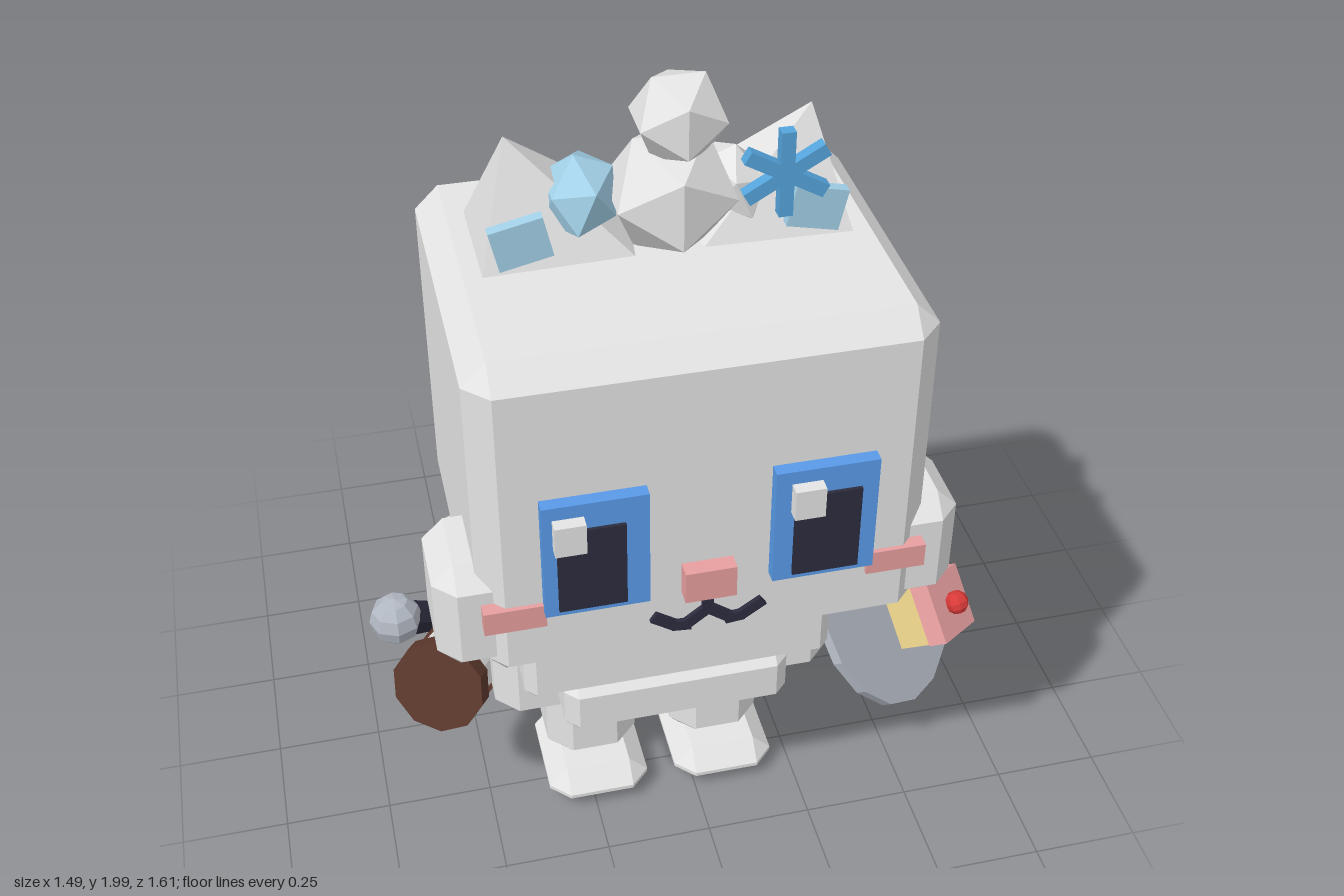
import * as THREE from 'three';
import { ConvexGeometry } from 'three/addons/geometries/ConvexGeometry.js';

const V = (x, y, z) => new THREE.Vector3(x, y, z);

export function createModel() {
  const model = new THREE.Group();
  model.name = 'robotCat';
  const colours = {
    shell: 0xe4e4e4, eyeBlue: 0x5a9cea, pink: 0xe9a0a0, navy: 0x2c2c3e, iceBlue: 0xa8d8f0,
    starBlue: 0x55a4dc, brown: 0x5c382c, steel: 0xb2b8c2, sponge: 0xe8d08a, berry: 0xd83a38,
  };
  const mats = {};
  for (const [name, hex] of Object.entries(colours)) {
    mats[name] = new THREE.MeshStandardMaterial({ color: hex });
    mats[name].name = name;
  }

  const add = (name, geo, mat, parent = model) => {
    const mesh = new THREE.Mesh(geo, mats[mat]);
    mesh.name = name;
    parent.add(mesh);
    return mesh;
  };
  const faceted = (geo) => {
    const flat = geo.index ? geo.toNonIndexed() : geo;
    flat.computeVertexNormals();
    return flat;
  };

  // Box given by its limits
  const box = (name, mat, [x0, x1], [y0, y1], [z0, z1]) => {
    const m = add(name, new THREE.BoxGeometry(x1 - x0, y1 - y0, z1 - z0), mat);
    m.position.set((x0 + x1) / 2, (y0 + y1) / 2, (z0 + z1) / 2);
    return m;
  };

  // Box with every edge cut off by c
  const chamferBox = (name, mat, [x0, x1], [y0, y1], [z0, z1], c) => {
    const h = [(x1 - x0) / 2, (y1 - y0) / 2, (z1 - z0) / 2];
    const pts = [];
    for (const sx of [-1, 1]) for (const sy of [-1, 1]) for (const sz of [-1, 1])
      for (let axis = 0; axis < 3; axis++) {
        const p = h.map((v, i) => (i === axis ? v : v - c));
        pts.push(V(sx * p[0], sy * p[1], sz * p[2]));
      }
    const m = add(name, new ConvexGeometry(pts), mat);
    m.position.set((x0 + x1) / 2, (y0 + y1) / 2, (z0 + z1) / 2);
    return m;
  };

  // Places a mesh whose axis is y so that it runs from a to b
  const span = (mesh, a, b) => {
    mesh.position.copy(a).add(b).multiplyScalar(0.5);
    mesh.quaternion.setFromUnitVectors(V(0, 1, 0), b.clone().sub(a).normalize());
    return mesh;
  };

  // Eight-sided rod with cut ends
  const rod = (name, mat, a, b, r, c) => {
    const h = a.distanceTo(b) / 2;
    const pts = [];
    for (const [y, q] of [[-h, r - c], [-h + c, r], [h - c, r], [h, r - c]])
      for (let i = 0; i < 8; i++) {
        const t = ((i + 0.5) * Math.PI) / 4;
        pts.push(V(q * Math.cos(t), y, q * Math.sin(t)));
      }
    return span(add(name, new ConvexGeometry(pts), mat), a, b);
  };
  const cylinder = (name, mat, a, b, r0, r1, sides) =>
    span(add(name, faceted(new THREE.CylinderGeometry(r1, r0, a.distanceTo(b), sides)), mat), a, b);
  const gem = (name, mat, p, sx, sy = sx, sz = sx) => {
    const g = new THREE.IcosahedronGeometry(1, 0).scale(sx, sy, sz);
    const m = add(name, faceted(g), mat);
    m.position.copy(p);
    return m;
  };

  const mid = -0.08; // centre line of the body
  const sides = [-1, 1];

  // Head and body
  chamferBox('head', 'shell', [-0.54, 0.38], [0.85, 1.62], [0, 0.74], 0.05);
  chamferBox('hips', 'shell', [-0.48, 0.32], [0.35, 0.72], [-0.06, 0.39], 0.05);
  chamferBox('chest', 'shell', [-0.43, 0.27], [0.55, 0.92], [0.2, 0.52], 0.025);
  chamferBox('belly', 'shell', [-0.34, 0.18], [0.41, 0.56], [0.3, 0.51], 0.03);
  chamferBox('backPanel', 'shell', [-0.395, 0.24], [0.36, 1.02], [-0.085, 0.25], 0.035);

  for (const s of sides) {
    const X = (a, b) => [mid + s * a, mid + s * b].sort((p, q) => p - q);
    // Side pods, legs and feet
    chamferBox('sidePod', 'shell', X(0.3, 0.545), [0.87, 1.135], [0.485, 0.72], 0.045);
    chamferBox('leg', 'shell', X(0.045, 0.265), [0.06, 0.45], [0.07, 0.28], 0.055);
    chamferBox('foot', 'shell', X(0.035, 0.28), [0, 0.1], [0.07, 0.37], 0.045);

    // Pyramid ears with a ribbon tab
    const ex = mid + s * 0.19;
    add('ear', new ConvexGeometry([
      V(mid + s * 0.375, 1.61, 0.16), V(mid + s * 0.03, 1.61, 0.16), V(mid + s * 0.06, 1.61, 0.41),
      V(mid + s * 0.375, 1.61, 0.42), V(mid + s * 0.305, 1.865, 0.315)]), 'shell');
    const tab = box('ribbonTab', 'iceBlue', [ex - 0.055, ex + 0.055], [1.64, 1.73], [0.395, 0.42]);
    tab.position.x = mid + s * 0.295;
    tab.rotation.z = -s * 0.22;

    // Face
    box('eye', 'eyeBlue', X(0.125, 0.335), [1.045, 1.32], [0.7, 0.768]);
    const px = s < 0 ? -0.32 : 0.152;
    box('pupil', 'navy', [px - 0.068, px + 0.068], [1.06, 1.26], [0.765, 0.775]);
    box('eyeGlint', 'shell', [px - 0.075, px - 0.013], [1.22, 1.29], [0.765, 0.795]);
    box('blush', 'pink', X(0.33, 0.455), [1.005, 1.06], [0.7, 0.75]);
    for (const [x, y, a, l] of [[0.02, 0.965, -0.65, 0.06], [0.055, 0.945, 0.1, 0.04], [0.092, 0.962, 0.6, 0.055]]) {
      const bar = box('mouth', 'navy', [-l / 2, l / 2], [-0.012, 0.012], [0.73, 0.75]);
      bar.position.set(mid + s * x, y, 0.74);
      bar.rotation.z = s * a;
    }
  }
  box('nose', 'pink', [-0.135, -0.03], [1.03, 1.105], [0.7, 0.775]);
  box('mouthStem', 'navy', [-0.093, -0.07], [0.97, 1.035], [0.73, 0.75]);

  // Hair buns, bow and star pin
  gem('bun', 'shell', V(-0.07, 1.735, 0.36), 0.14);
  gem('topBun', 'shell', V(-0.06, 1.907, 0.385), 0.1);
  gem('bowLeft', 'iceBlue', V(-0.245, 1.73, 0.33), 0.08, 0.09, 0.105).rotation.z = -0.4;
  gem('bowRight', 'shell', V(0.07, 1.71, 0.315), 0.065, 0.085, 0.1).rotation.z = 0.4;
  for (let i = 0; i < 3; i++) {
    const bar = box('starPin', 'starBlue', [-0.014, 0.014], [-0.09, 0.09], [0, 0.025]);
    bar.position.set(0.12, 1.825, 0.5);
    bar.rotation.z = (i * Math.PI) / 3;
  }

  // Arms
  rod('rightArm', 'shell', V(-0.51, 0.81, 0.175), V(-0.51, 0.44, 0.175), 0.078, 0.04);
  rod('leftArm', 'shell', V(0.345, 0.81, 0.175), V(0.37, 0.5, 0.175), 0.078, 0.04);
  cylinder('leftHand', 'shell', V(0.42, 0.48, 0.19), V(0.5, 0.535, 0.275), 0.075, 0.075, 10);

  // Tail of chamfered links
  const path = [V(-0.08, 0.46, -0.04), V(-0.08, 0.435, -0.29), V(-0.075, 0.455, -0.5),
    V(-0.05, 0.62, -0.67), V(-0.02, 0.81, -0.715), V(0.005, 1.08, -0.69)];
  [0.138, 0.132, 0.122, 0.112, 0.104].forEach((r, i) => {
    const a = path[i], b = path[i + 1];
    const lap = b.clone().sub(a).normalize().multiplyScalar(i < 4 ? 0.02 : 0);
    rod('tailLink', 'shell', a.clone().sub(lap), b.clone().add(lap), r, i < 4 ? 0.03 : 0.05);
  });

  // Small drum: shell body with brown caps
  const front = V(-0.61, 0.475, 0.345), back = V(-0.53, 0.42, 0.2);
  const at = (t) => front.clone().lerp(back, t);
  cylinder('drumBody', 'shell', at(0.15), at(0.85), 0.095, 0.095, 10);
  cylinder('drumFrontCap', 'brown', at(0), at(0.25), 0.112, 0.112, 10);
  cylinder('drumBackCap', 'brown', at(0.78), at(1), 0.105, 0.105, 10);

  // Microphone
  cylinder('microphoneHandle', 'navy', V(-0.52, 0.45, 0.09), V(-0.66, 0.54, 0.17), 0.028, 0.045, 8);
  const ball = add('microphoneHead', faceted(new THREE.SphereGeometry(0.062, 8, 6)), 'steel');
  ball.position.set(-0.68, 0.55, 0.175);

  // Plate with a cake slice, built on the plate's own axes
  const tray = new THREE.Group();
  tray.name = 'cakePlate';
  const n = V(0.64, 0.54, 0.54).normalize();
  const right = V(0, 1, 0).cross(n).normalize();
  tray.quaternion.setFromRotationMatrix(new THREE.Matrix4().makeBasis(right, n.clone().cross(right), n));
  tray.position.set(0.515, 0.388, 0.19);
  model.add(tray);
  add('plate', faceted(new THREE.CylinderGeometry(0.277, 0.277, 0.025, 16)), 'steel', tray).rotation.x = Math.PI / 2;
  const cake = new THREE.Group();
  cake.name = 'cake';
  cake.position.set(0.041, -0.089, 0);
  cake.rotation.z = -0.3;
  tray.add(cake);
  add('sponge', new THREE.BoxGeometry(0.15, 0.15, 0.09), 'sponge', cake).position.z = 0.055;
  add('icing', new THREE.BoxGeometry(0.155, 0.155, 0.05), 'pink', cake).position.z = 0.12;
  add('berry', faceted(new THREE.SphereGeometry(0.03, 8, 6)), 'berry', cake).position.z = 0.162;

  return model;
}
